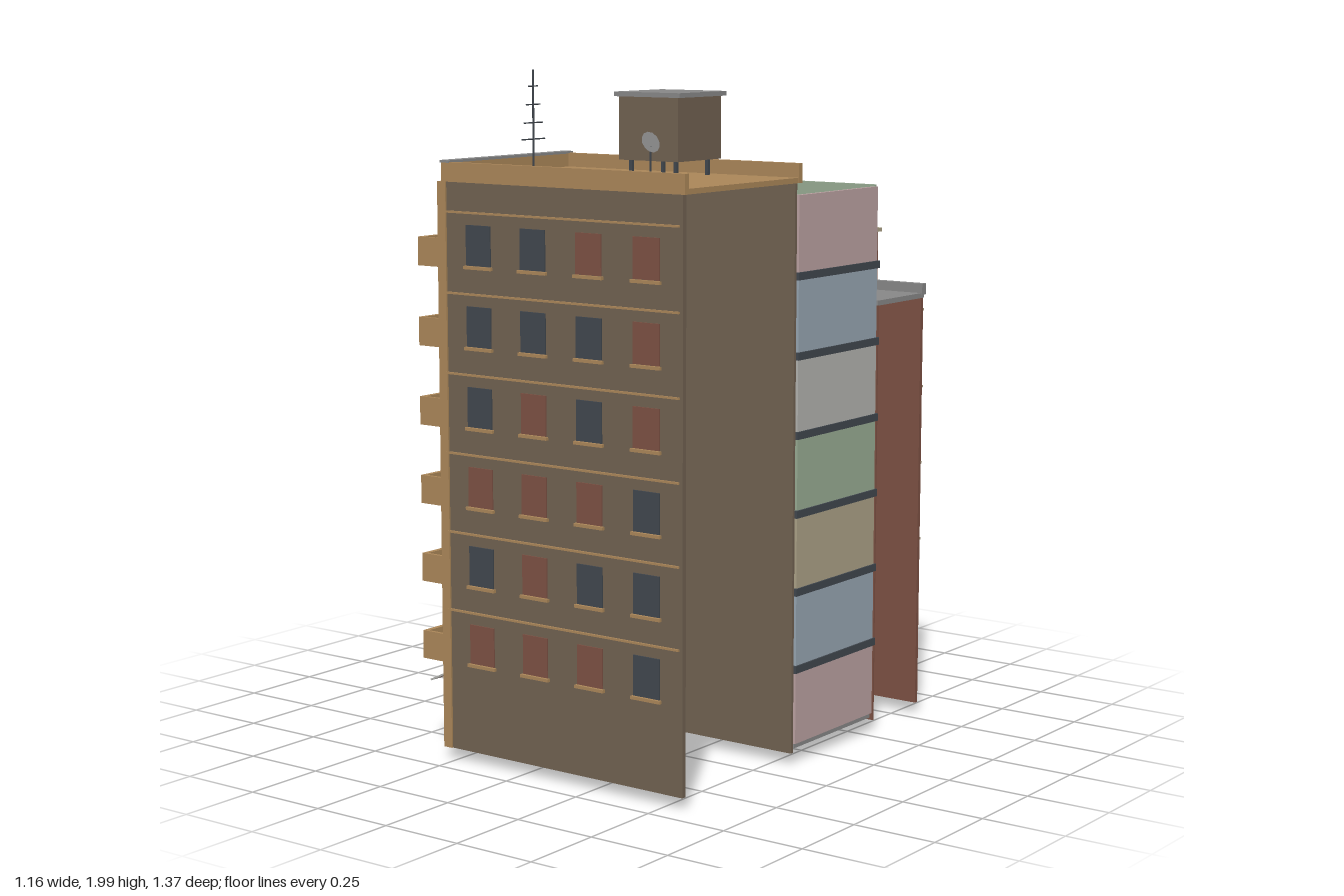
import * as THREE from 'three';

const material = (name, color, side = THREE.FrontSide) => Object.assign(new THREE.MeshStandardMaterial({ color, side }), { name });
const brown = material('brown render', 0x6f6050);
const tan = material('tan stone', 0xa98558);
const dark = material('dark glass', 0x40464d);
const red = material('red brick', 0x7b5042);
const grey = material('concrete grey', 0x868686);
const beige = material('beige stone', 0xaaa086);
const pink = material('pink plaster', 0xb9a0a0);
const blue = material('blue plaster', 0x96a4b0);
const green = material('green plaster', 0x97aa92);
const pale = material('pale plaster', 0xb1b1ad);

let seed = 7;
const rnd = () => (seed = (seed * 16807) % 2147483647) / 2147483647;

function add(parent, name, geometry, mat, x = 0, y = 0, z = 0) {
  const mesh = new THREE.Mesh(geometry, mat);
  mesh.name = name;
  mesh.position.set(x, y, z);
  parent.add(mesh);
  return mesh;
}
// Box given by its limits on each axis
function box(parent, name, mat, x0, x1, y0, y1, z0, z1) {
  return add(parent, name, new THREE.BoxGeometry(x1 - x0, y1 - y0, z1 - z0), mat, (x0 + x1) / 2, (y0 + y1) / 2, (z0 + z1) / 2);
}
function rod(parent, name, mat, a, b, r) {
  const from = new THREE.Vector3(...a), to = new THREE.Vector3(...b), dir = to.clone().sub(from);
  const mesh = add(parent, name, new THREE.CylinderGeometry(r, r, dir.length(), 5), mat);
  mesh.position.copy(from).add(to).multiplyScalar(0.5);
  mesh.quaternion.setFromUnitVectors(new THREE.Vector3(0, 1, 0), dir.normalize());
  return mesh;
}
function section(root, name) {
  const g = new THREE.Group();
  g.name = name;
  root.add(g);
  return g;
}

const BASE = 0.045, FLOOR = 0.229;

function tallBuilding(root) {
  const g = section(root, 'tallBuilding');
  box(g, 'frontWall', brown, -0.27, 0.56, BASE, 1.69, 0.66, 0.675);
  box(g, 'partyWall', brown, -0.26, 0.56, BASE, 1.69, 0.135, 0.145);
  box(g, 'roof', tan, -0.27, 0.57, 1.685, 1.7, 0.13, 0.68);
  box(g, 'frontParapet', tan, -0.275, 0.572, 1.685, 1.74, 0.665, 0.682);
  box(g, 'rearParapet', tan, -0.275, 0.572, 1.685, 1.74, 0.128, 0.145);
  box(g, 'streetParapet', tan, -0.275, -0.245, 1.685, 1.738, 0.13, 0.68);
  box(g, 'coping', grey, -0.278, -0.245, 1.738, 1.745, 0.125, 0.684);
  // Side windows, glazed (D) or bricked up (R), top row first
  ['DDRR', 'DDDR', 'DRDR', 'RRRD', 'DRDD', 'RRRD'].forEach((row, r) => {
    const y = 1.51 - r * FLOOR;
    [...row].forEach((c, i) => {
      const x = -0.145 + i * 0.195;
      box(g, 'sideWindow', c === 'D' ? dark : red, x - 0.044, x + 0.044, y - 0.057, y + 0.057, 0.675, 0.679);
      box(g, 'windowSill', tan, x - 0.05, x + 0.05, y - 0.067, y - 0.058, 0.675, 0.685);
    });
    box(g, 'stringCourse', tan, -0.27, 0.55, y + 0.088, y + 0.094, 0.675, 0.681);
  });
  // Street facade: glass strips, floor bands, pilasters and balconies
  box(g, 'groundBand', brown, -0.262, -0.25, BASE, 0.31, 0.13, 0.675);
  for (let i = 0; i < 6; i++) {
    const y = 0.31 + i * FLOOR;
    box(g, 'glazing', dark, -0.262, -0.25, y, y + 0.19, 0.145, 0.66);
    box(g, 'floorBand', brown, -0.264, -0.248, y + 0.19, i === 5 ? 1.69 : y + FLOOR, 0.13, 0.675);
    box(g, 'lintel', tan, -0.285, -0.262, y + 0.165, y + 0.2, 0.13, 0.68);
    box(g, 'balconyFloor', tan, -0.365, -0.262, y - 0.012, y + 0.003, 0.13, 0.68);
    box(g, 'balconyFront', tan, -0.367, -0.352, y - 0.012, y + 0.07, 0.13, 0.68);
    for (const z of [0.13, 0.305, 0.49, 0.67]) box(g, 'balconyDivider', tan, -0.355, -0.262, y, y + 0.07, z, z + 0.01);
    for (const z of [0.225, 0.405, 0.585]) box(g, 'mullion', tan, -0.272, -0.262, y, y + 0.17, z - 0.006, z + 0.006);
  }
  for (const z of [0.13, 0.302, 0.482, 0.65]) box(g, 'pilaster', tan, -0.292, -0.262, BASE, 1.685, z, z + 0.03);
  [0.15, 0.325, 0.505].forEach((z, i) => {
    for (const x of [-0.264, -0.25]) box(g, 'shopWindow', dark, x - 0.002, x + 0.002, 0.06, 0.26, z, z + 0.16);
    if (i === 1) return;
    // Striped awnings
    for (let k = 0; k < 6; k++) {
      const a = box(g, 'awning', k % 2 ? pale : red, -0.36, -0.26, 0.25, 0.255, z + k * 0.0265, z + (k + 1) * 0.0265);
      a.rotation.z = 0.45;
    }
  });
  box(g, 'airConditioner', pale, -0.335, -0.293, 0.65, 0.69, 0.215, 0.265);
  box(g, 'airConditioner', grey, -0.33, -0.293, 0.42, 0.46, 0.215, 0.265);
  // Roof hut, aerial and dish
  box(g, 'roofHut', brown, 0.115, 0.32, 1.745, 1.922, 0.165, 0.37);
  box(g, 'hutRoof', grey, 0.105, 0.332, 1.922, 1.935, 0.155, 0.38);
  for (const x of [0.14, 0.295]) for (const z of [0.195, 0.345]) box(g, 'hutLeg', dark, x - 0.005, x + 0.005, 1.7, 1.77, z - 0.005, z + 0.005);
  rod(g, 'aerialMast', dark, [0.01, 1.69, 0.62], [0.01, 2, 0.62], 0.003);
  [[1.81, 0.05], [1.855, 0.04], [1.905, 0.03], [1.955, 0.02]].forEach(([y, w]) => rod(g, 'aerialBar', dark, [0.01, y, 0.62 - w], [0.01, y, 0.62 + w], 0.002));
  rod(g, 'dishPost', dark, [0.36, 1.69, 0.55], [0.36, 1.8, 0.55], 0.003);
  const dish = add(g, 'dish', new THREE.CylinderGeometry(0.03, 0.012, 0.014, 12), grey, 0.352, 1.807, 0.545);
  dish.rotation.set(0.5, 0, -1.1);
}

function ruin(root) {
  const g = section(root, 'collapsedMiddle');
  const rear = [pink, blue, beige, green, pale, blue, pink];
  const towerSide = [beige, green, pale, blue, pink, pink, blue];
  const brickSide = [green, pale, blue, pink, blue, beige, green];
  for (let i = 0; i < 7; i++) {
    const y = 0.07 + i * 0.2265, top = y + 0.2265;
    box(g, 'rearWall', rear[i], 0.55, 0.563, y, top - 0.005, -0.285, 0.128);
    box(g, 'towerSideWall', towerSide[i], -0.245, 0.55, y, top, 0.123, 0.135);
    box(g, 'brickSideWall', brickSide[i], -0.245, 0.55, y, top, -0.296, -0.286);
    // Floor slab with a torn street edge, longest beside the walls
    const s = new THREE.Shape();
    s.moveTo(0.556, -0.286);
    s.lineTo(0.556, 0.124);
    const N = 9;
    for (let k = 0; k <= N; k++) {
      const z = 0.124 - k * 0.41 / N, edge = Math.abs(k / N - 0.5) * 2;
      s.lineTo(-0.09 - 0.13 * edge * edge - rnd() * 0.07 + (i > 3 ? 0.02 : 0), z);
    }
    s.closePath();
    const geo = new THREE.ExtrudeGeometry(s, { depth: 0.02, bevelEnabled: false });
    geo.rotateX(Math.PI / 2);
    geo.scale(1, 1, 1);
    add(g, 'floorSlab', geo, grey, 0, y + 0.005, 0);
    if (i) box(g, 'slabEdge', dark, 0.555, 0.568, y - 0.017, y + 0.005, -0.292, 0.135);
    // Bent reinforcing bars
    if (i) for (let k = 0; k < 7; k++) {
      const z = -0.26 + k * 0.06;
      rod(g, 'reinforcingBar', red, [-0.12, y - 0.005, z], [-0.23 - rnd() * 0.05, y - 0.01 - rnd() * 0.05, z + (rnd() - 0.5) * 0.04], 0.003);
    }
  }
}

function brickBuilding(root) {
  const g = section(root, 'brickBuilding');
  box(g, 'rearWall', red, -0.29, 0.56, BASE, 1.31, -0.555, -0.542);
  box(g, 'partyWall', red, -0.27, 0.56, BASE, 1.3, -0.302, -0.296);
  box(g, 'roof', grey, -0.29, 0.562, 1.3, 1.315, -0.555, -0.295);
  box(g, 'rearCoping', grey, -0.325, 0.565, 1.31, 1.343, -0.563, -0.54);
  box(g, 'streetCornice', grey, -0.325, -0.265, 1.3, 1.343, -0.565, -0.292);
  // Rear windows, glazed (D) or bricked up (R), top row first
  ['RRRD', 'DRRR', 'DRDR', 'RDDR'].forEach((row, r) => {
    const y = 1.175 - r * 0.235;
    [...row].forEach((c, i) => {
      const x = -0.145 + i * 0.198;
      box(g, 'rearWindow', c === 'D' ? dark : red, x - 0.042, x + 0.042, y - 0.06, y + 0.06, -0.559, -0.555);
      box(g, 'windowSill', beige, x - 0.052, x + 0.052, y - 0.071, y - 0.061, -0.566, -0.555);
    });
    box(g, 'stringCourse', beige, -0.29, 0.56, y + 0.086, y + 0.093, -0.561, -0.555);
  });
  // Street facade
  box(g, 'streetWall', red, -0.28, -0.268, BASE, 1.31, -0.555, -0.296);
  for (let i = 0; i < 4; i++) {
    const y = 0.4 + i * 0.235;
    for (const x of [-0.282, -0.266]) box(g, 'glazing', dark, x - 0.002, x + 0.002, y, y + 0.15, -0.55, -0.3);
    for (let k = 0; k <= 6; k++) box(g, 'mullion', beige, -0.296, -0.28, y, y + 0.15, -0.55 + k * 0.04, -0.544 + k * 0.04);
    box(g, 'transom', beige, -0.294, -0.28, y + 0.09, y + 0.098, -0.55, -0.3);
    box(g, 'sillCourse', beige, -0.31, -0.28, y - 0.022, y, -0.562, -0.294);
    box(g, 'headCourse', beige, -0.302, -0.28, y + 0.15, y + 0.165, -0.56, -0.294);
  }
  for (const z of [-0.558, -0.43, -0.31]) box(g, 'pilaster', red, -0.302, -0.28, BASE, 1.3, z, z + 0.016);
  for (const x of [-0.282, -0.266]) box(g, 'groundWindow', dark, x - 0.002, x + 0.002, 0.17, 0.32, -0.545, -0.385);
  for (const z of [-0.5, -0.44]) box(g, 'groundMullion', beige, -0.292, -0.28, 0.17, 0.32, z, z + 0.008);
  box(g, 'door', dark, -0.286, -0.28, 0.16, 0.33, -0.375, -0.31);
  // Entrance steps
  for (let k = 0; k < 6; k++) box(g, 'step', beige, -0.44 + k * 0.024, -0.416 + k * 0.024, BASE, 0.065 + k * 0.02, -0.41, -0.28);
  for (const z of [-0.418, -0.282]) {
    const rail = box(g, 'stairCheek', beige, -0.445, -0.275, 0.115, 0.145, z - 0.005, z + 0.005);
    rail.rotation.z = 0.68;
  }
  // Chimneys
  for (const [z0, z1] of [[-0.68, -0.59], [-0.262, -0.172]]) {
    box(g, 'chimney', red, 0.255, 0.32, 1.325, 1.478, z0, z1);
    box(g, 'chimneyCap', beige, 0.247, 0.328, 1.478, 1.49, z0 - 0.009, z1 + 0.009);
  }
}

// Irregular faceted stone
function boulder(g, mat, x, y, z, r, flat = 0.6) {
  const geo = new THREE.IcosahedronGeometry(r, 0), p = geo.attributes.position, k = rnd() * 9;
  for (let i = 0; i < p.count; i++) {
    const v = new THREE.Vector3().fromBufferAttribute(p, i);
    const n = Math.sin(Math.round(v.x / r * 50) * 1.7 + Math.round(v.y / r * 50) * 2.3 + Math.round(v.z / r * 50) * 3.1 + k);
    v.multiplyScalar(1 + 0.22 * n);
    p.setXYZ(i, v.x, v.y * flat, v.z);
  }
  geo.computeVertexNormals();
  add(g, 'boulder', geo, mat, x, y, z).rotation.y = k;
}

function rubble(root) {
  const g = section(root, 'rubble');
  [[tan, -0.475, 0.085, -0.03, 0.1], [tan, -0.43, 0.08, 0.03, 0.075], [brown, -0.44, 0.12, -0.1, 0.075],
    [tan, -0.5, 0.075, -0.25, 0.055], [brown, -0.49, 0.07, -0.17, 0.06], [grey, -0.4, 0.06, 0.07, 0.05],
    [brown, -0.35, 0.08, -0.24, 0.06], [tan, -0.3, 0.13, -0.25, 0.055], [grey, -0.33, 0.06, 0.04, 0.05],
    [tan, -0.33, 0.1, -0.14, 0.07], [brown, -0.28, 0.06, 0.06, 0.05]].forEach(b => boulder(g, ...b));
  const mats = [tan, grey, brown];
  for (let i = 0; i < 20; i++) boulder(g, mats[i % 3], -0.4 + rnd() * 0.33, 0.045, -0.27 + rnd() * 0.36, 0.025 + rnd() * 0.025, 0.7);
  // Fallen slabs: x, y, z, length, width, turn, tilt
  [[-0.44, 0.17, -0.25, 0.2, 0.06, 0.72, 0.35], [-0.4, 0.16, -0.13, 0.14, 0.06, 0.9, 0.3], [-0.32, 0.14, -0.08, 0.13, 0.09, -0.1, 0.4],
    [-0.31, 0.11, 0.04, 0.13, 0.07, -0.2, 0.3], [-0.36, 0.09, 0.0, 0.15, 0.05, -0.5, 0.2], [-0.27, 0.16, -0.18, 0.14, 0.07, 0.3, 0.5]]
    .forEach(([x, y, z, l, w, turn, tilt]) => add(g, 'fallenSlab', new THREE.BoxGeometry(l, 0.025, w), grey, x, y, z).rotation.set(0, turn, tilt, 'YXZ'));
}

export function createModel() {
  const root = new THREE.Group();
  root.name = 'ruinedTerrace';
  tallBuilding(root);
  ruin(root);
  brickBuilding(root);
  rubble(root);
  return root;
}
